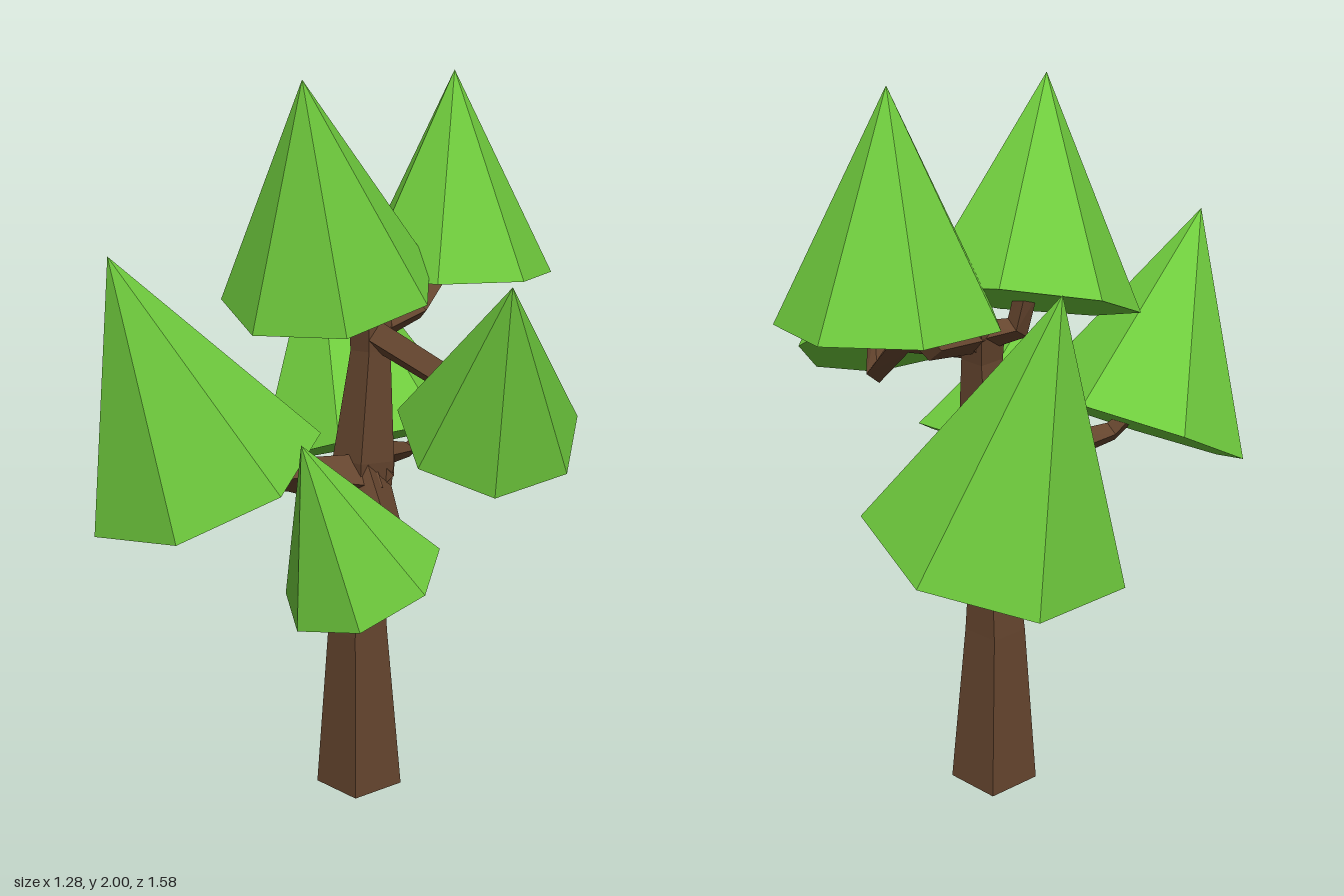
import * as THREE from 'three';

const V = (p) => new THREE.Vector3(...p);
const bark = new THREE.MeshStandardMaterial({ color: 0x66462f, flatShading: true });
const leaf = new THREE.MeshStandardMaterial({ color: 0x6fcb3d, flatShading: true });

// Four-sided tapering limb swept along a path of [x, y, z, radius]
function limb(name, path, ref) {
  const pts = path.map((p) => V(p.slice(0, 3)));
  const n = pts.length, pos = [], idx = [];
  let u = V(ref);
  pts.forEach((p, i) => {
    const t = new THREE.Vector3();
    if (i > 0) t.add(p.clone().sub(pts[i - 1]).normalize());
    if (i < n - 1) t.add(pts[i + 1].clone().sub(p).normalize());
    t.normalize();
    u = u.clone().addScaledVector(t, -u.dot(t)).normalize();
    const v = t.clone().cross(u);
    for (let j = 0; j < 4; j++) {
      const a = (j * Math.PI) / 2;
      const q = p.clone().addScaledVector(u, Math.cos(a) * path[i][3]).addScaledVector(v, Math.sin(a) * path[i][3]);
      pos.push(q.x, q.y, q.z);
    }
  });
  for (let i = 0; i < n - 1; i++) {
    for (let j = 0; j < 4; j++) {
      const a = i * 4 + j, b = i * 4 + ((j + 1) % 4);
      idx.push(a, b, b + 4, a, b + 4, a + 4);
    }
  }
  // End caps
  const e = (n - 1) * 4;
  idx.push(0, 2, 1, 0, 3, 2, e, e + 1, e + 2, e, e + 2, e + 3);
  const indexed = new THREE.BufferGeometry();
  indexed.setAttribute('position', new THREE.Float32BufferAttribute(pos, 3));
  indexed.setIndex(idx);
  const geo = indexed.toNonIndexed();
  geo.computeVertexNormals();
  const mesh = new THREE.Mesh(geo, bark);
  mesh.name = name;
  return mesh;
}

// Seven-sided leaning cone; (dx, dz) points from the base centre to one base corner
function foliage(name, apex, base, radius, dx, dz) {
  const axis = V(apex).sub(V(base));
  const height = axis.length();
  axis.normalize();
  const corner = new THREE.Vector3(dx, -(axis.x * dx + axis.z * dz) / axis.y, dz).normalize();
  const mesh = new THREE.Mesh(new THREE.ConeGeometry(radius, height, 7), leaf);
  const basis = new THREE.Matrix4().makeBasis(axis.clone().cross(corner), axis, corner);
  mesh.quaternion.setFromRotationMatrix(basis);
  mesh.position.copy(V(base)).addScaledVector(axis, height / 2);
  mesh.name = name;
  return mesh;
}

export function createModel() {
  const tree = new THREE.Group();
  tree.name = 'tree';

  // Trunk
  tree.add(limb('trunk', [
    [0.06, 0, -0.035, 0.12], [0.055, 0.46, -0.035, 0.083], [0.06, 0.64, -0.035, 0.067],
    [0.07, 0.95, -0.04, 0.085], [0.09, 1.25, -0.06, 0.055], [0.09, 1.34, -0.07, 0.06],
  ], [-0.15, 0, 1]));

  // Branches, each ending under its clump of leaves
  const up = [0, 1, 0];
  const branches = {
    lowFrontBranch: [[0.06, 0.9, -0.04, 0.085], [0.12, 0.715, 0.2, 0.065], [0.03, 0.745, 0.57, 0.025], [0.02, 0.8, 0.61, 0.018]],
    highFrontBranch: [[0.09, 1.3, -0.09, 0.045], [0.27, 1.225, 0.27, 0.04], [0.34, 1.09, 0.42, 0.035], [0.34, 1.17, 0.5, 0.025]],
    highBackBranch: [[0.09, 1.31, -0.05, 0.045], [0.24, 1.335, -0.26, 0.03], [0.33, 1.45, -0.34, 0.025]],
    topBranch: [[0.12, 1.31, -0.07, 0.045], [0.0, 1.34, -0.09, 0.035], [-0.02, 1.43, -0.1, 0.03]],
    lowBackBranch: [[0.07, 0.91, -0.03, 0.085], [0.14, 0.91, -0.28, 0.04], [0.24, 0.87, -0.51, 0.025], [0.32, 0.94, -0.53, 0.015]],
    backTwig: [[0.13, 0.91, -0.26, 0.03], [0.1, 0.87, -0.43, 0.022], [0.1, 0.93, -0.46, 0.018]],
    sideBranch: [[0.08, 0.89, -0.03, 0.08], [-0.14, 0.94, 0.09, 0.045], [-0.31, 0.95, 0.2, 0.03], [-0.36, 1.0, 0.19, 0.022]],
  };
  for (const [name, path] of Object.entries(branches)) tree.add(limb(name, path, up));

  // Leaf clumps
  tree.add(
    foliage('highBackFoliage', [0.345, 2, -0.34], [0.345, 1.43, -0.34], 0.287, 1, 0.03),
    foliage('topFoliage', [-0.1, 1.98, 0.08], [-0.02, 1.41, -0.1], 0.302, 0.03, 0.29),
    foliage('sideFoliage', [-0.59, 1.56, 0.35], [-0.37, 0.97, 0.18], 0.33, -0.26, 0.11),
    foliage('lowFrontFoliage', [-0.13, 1.16, 0.71], [0.02, 0.794, 0.6], 0.206, -0.16, 0.09),
    foliage('highFrontFoliage', [0.35, 1.53, 0.75], [0.34, 1.148, 0.487], 0.23, -0.01, 0.19),
    foliage('lowBackFoliage', [-0.03, 1.555, -0.64], [0.1, 0.905, -0.46], 0.345, -0.06, -0.33),
  );
  return tree;
}
